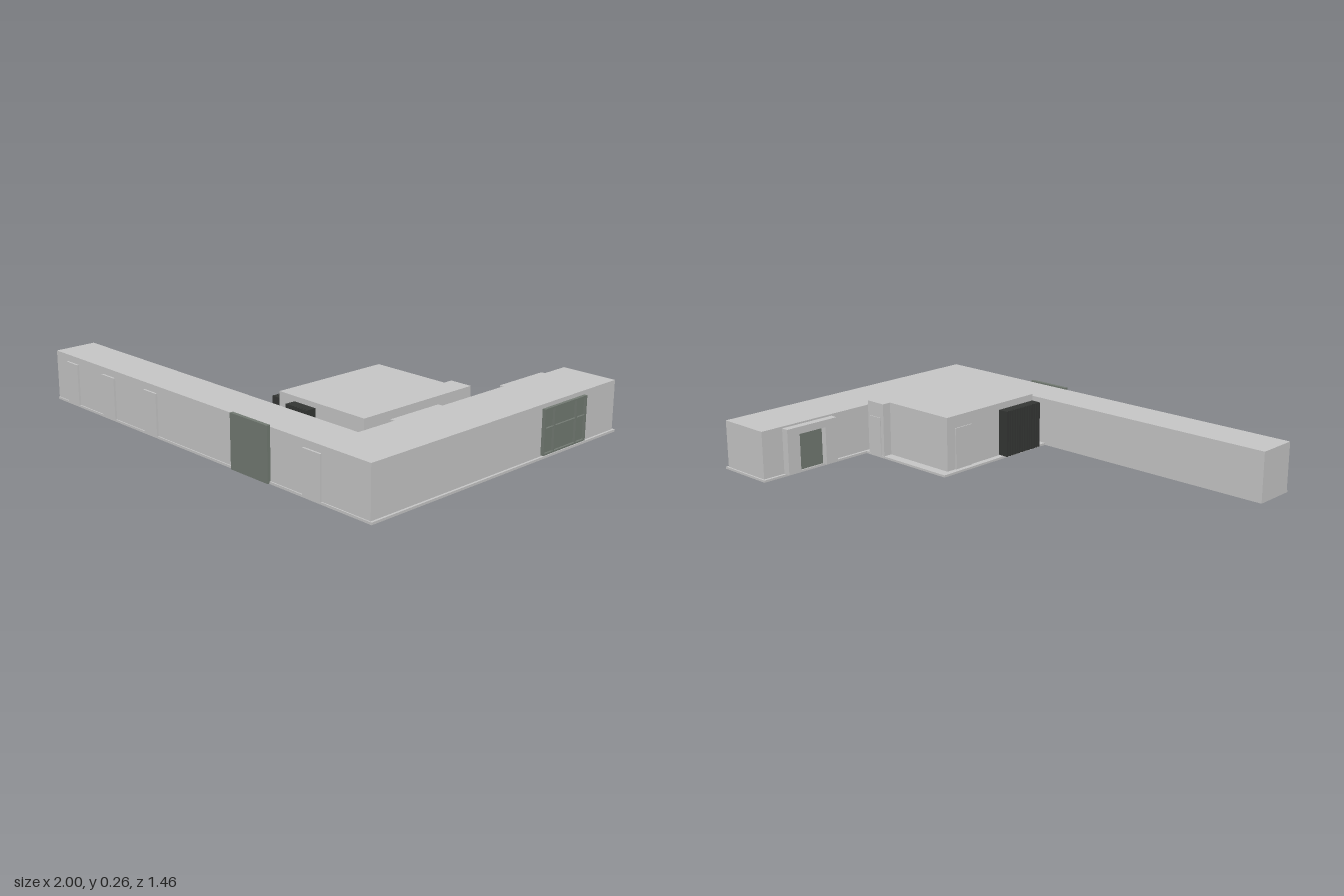
import * as THREE from 'three';

const concrete = new THREE.MeshStandardMaterial({ name: 'pale grey wall', color: 0xc6c6c6 });
const glass = new THREE.MeshStandardMaterial({ name: 'grey green glass', color: 0x727a72 });
const dark = new THREE.MeshStandardMaterial({ name: 'dark louvre', color: 0x343634 });

// Box given by its extents on each axis
function box(parent, name, mat, [x0, x1], [y0, y1], [z0, z1]) {
  const mesh = new THREE.Mesh(new THREE.BoxGeometry(x1 - x0, y1 - y0, z1 - z0), mat);
  mesh.position.set((x0 + x1) / 2, (y0 + y1) / 2, (z0 + z1) / 2);
  mesh.name = name;
  parent.add(mesh);
  return mesh;
}

// Upright prism over a floor plan of [x, z] points
function prism(parent, name, mat, plan, y0, y1) {
  const shape = new THREE.Shape(plan.map(([x, z]) => new THREE.Vector2(x, -z)));
  const geo = new THREE.ExtrudeGeometry(shape, { depth: y1 - y0, bevelEnabled: false });
  geo.rotateX(-Math.PI / 2);
  const mesh = new THREE.Mesh(geo, mat);
  mesh.position.y = y0;
  mesh.name = name;
  parent.add(mesh);
}

export function createModel() {
  const model = new THREE.Group();
  model.name = 'building';

  // Floor slab under both wings and the courtyard room
  prism(model, 'floorSlab', concrete, [
    [-1, 0.72], [0.995, 0.72], [0.995, -0.73], [0.712, -0.73], [0.712, -0.145],
    [0.195, -0.145], [0.195, 0.52], [-1, 0.52],
  ], 0, 0.01);

  // L-shaped wings, with a separate end block on the long one
  prism(model, 'wings', concrete, [
    [-0.94, 0.715], [0.985, 0.715], [0.985, -0.722], [0.725, -0.722],
    [0.725, 0.52], [-0.94, 0.52],
  ], 0.01, 0.226);
  box(model, 'endBlock', concrete, [-1, -0.94], [0.01, 0.226], [0.52, 0.715]);

  // Taller courtyard room with a projection at its back corner
  prism(model, 'courtyardRoom', concrete, [
    [0.222, 0.46], [0.695, 0.46], [0.695, -0.143], [0.592, -0.143],
    [0.592, -0.1], [0.222, -0.1],
  ], 0.01, 0.257);
  box(model, 'passage', concrete, [0.69, 0.73], [0.01, 0.222], [0.05, 0.32]);
  box(model, 'roomDoor', concrete, [0.217, 0.223], [0.01, 0.2], [-0.05, 0.05]);
  box(model, 'backDoor', concrete, [0.61, 0.68], [0.01, 0.19], [-0.147, -0.142]);

  // Doors along the front
  for (const [x0, x1] of [[-0.91, -0.825], [-0.635, -0.547], [-0.333, -0.247], [0.642, 0.737]]) {
    box(model, 'frontDoor', concrete, [x0, x1], [0.01, 0.195], [0.714, 0.724]);
  }
  box(model, 'frontGlazing', glass, [0.24, 0.457], [0.002, 0.233], [0.714, 0.73]);

  // Side window: pane, outer frame, mullions and a rail
  const win = new THREE.Group();
  win.name = 'sideWindow';
  model.add(win);
  box(win, 'pane', glass, [0.984, 0.99], [0.015, 0.208], [-0.51, -0.237]);
  for (const z of [-0.51, -0.448, -0.306, -0.244]) {
    box(win, 'mullion', glass, [0.984, 1], [0.015, 0.208], [z, z + 0.007]);
  }
  for (const y of [0.015, 0.12, 0.201]) {
    box(win, 'rail', glass, [0.984, 0.999], [y, y + 0.007], [-0.51, -0.237]);
  }

  // Entrance porch on the courtyard side
  const porch = new THREE.Group();
  porch.name = 'porch';
  model.add(porch);
  box(porch, 'post', concrete, [0.69, 0.73], [0.01, 0.218], [-0.612, -0.545]);
  box(porch, 'post', concrete, [0.69, 0.73], [0.01, 0.218], [-0.4, -0.335]);
  box(porch, 'lintel', concrete, [0.69, 0.73], [0.185, 0.218], [-0.545, -0.4]);
  box(porch, 'porchGlass', glass, [0.718, 0.726], [0.01, 0.185], [-0.545, -0.4]);

  // Louvred screens on the courtyard room
  box(model, 'sideScreen', dark, [0.18, 0.222], [0.012, 0.226], [0.232, 0.456]);
  for (let i = 0; i < 14; i++) {
    const z = 0.232 + i * 0.0163;
    box(model, 'sideSlat', dark, [0.172, 0.181], [0.012, 0.226], [z, z + 0.011]);
  }
  box(model, 'frontScreen', dark, [0.31, 0.43], [0.012, 0.235], [0.46, 0.5]);
  for (let i = 0; i < 8; i++) {
    const x = 0.31 + i * 0.0156;
    box(model, 'frontSlat', dark, [x, x + 0.0108], [0.012, 0.235], [0.499, 0.508]);
  }

  return model;
}
